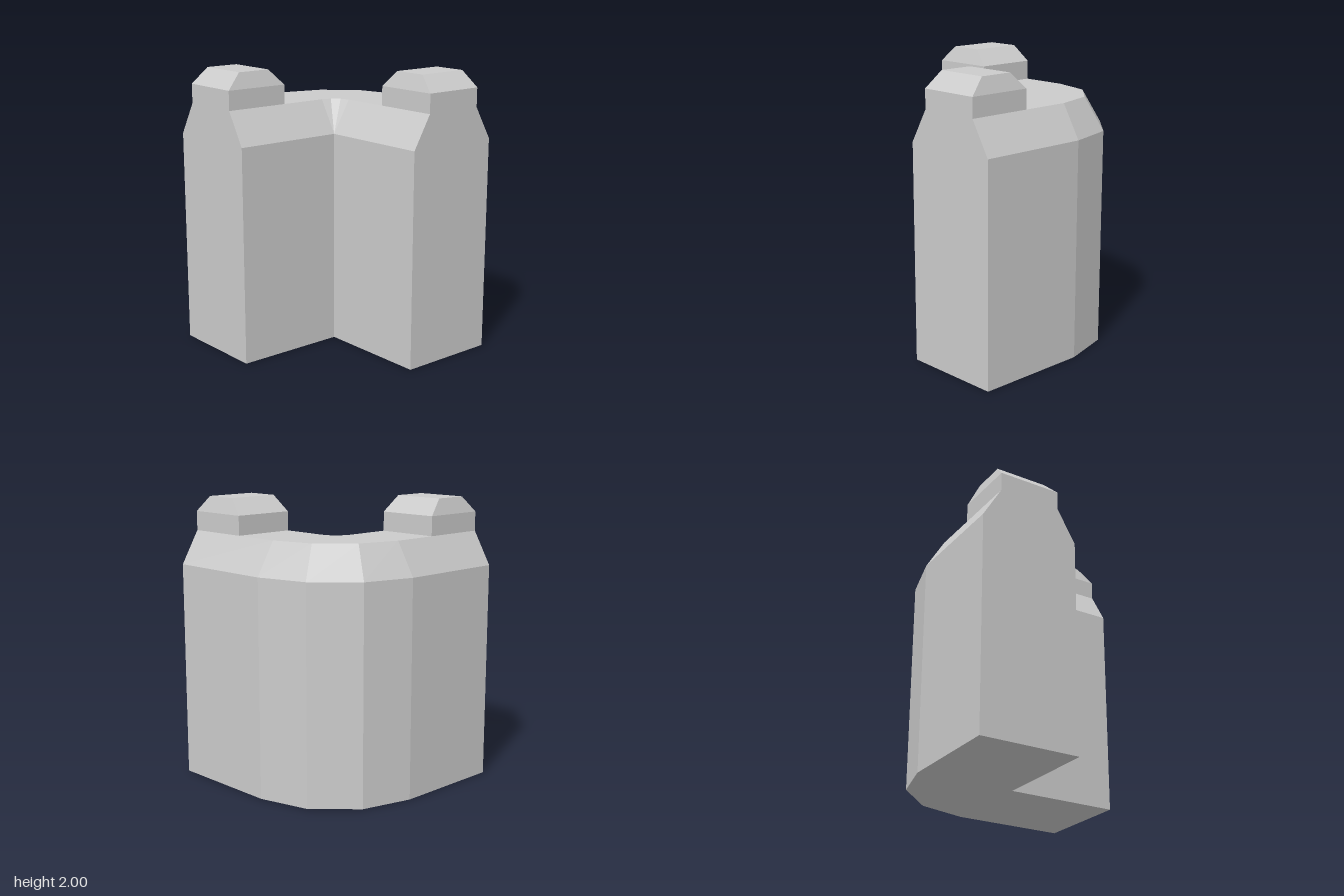
import * as THREE from 'three';

const material = new THREE.MeshStandardMaterial({ color: 0xcccccc, flatShading: true });

// Wall cross-section: distance out from the inner face, height
const profile = [[0, 0], [0, 1.525], [0.135, 1.755], [0.58, 1.755], [0.715, 1.525], [0.715, 0]];

// Stations along the inner edge: x, z, heading in degrees
const stations = [
  [-0.757, -0.05, 0], [0.04, -0.05, 0], [0.04, -0.05, 30],
  [0.04, -0.05, 60], [0.04, -0.05, 90], [0.04, 0.762, 90],
];

// Sweeps the cross-section round the corner and closes both ends
function wallGeometry() {
  const rings = stations.map(([x, z, deg]) => {
    const a = THREE.MathUtils.degToRad(deg);
    return profile.map(([r, y]) => new THREE.Vector3(x + r * Math.sin(a), y, z - r * Math.cos(a)));
  });
  const points = [];
  const triangle = (a, b, c) => {
    if (new THREE.Triangle(a, b, c).getArea() > 1e-6) points.push(a, b, c);
  };
  const n = profile.length;
  for (let i = 0; i < rings.length - 1; i++) {
    for (let j = 0; j < n; j++) {
      const k = (j + 1) % n;
      const a = rings[i][j], b = rings[i][k], c = rings[i + 1][k], d = rings[i + 1][j];
      triangle(a, d, c);
      triangle(a, c, b);
    }
  }
  const first = rings[0], last = rings[rings.length - 1];
  for (let j = 1; j < n - 1; j++) {
    triangle(first[0], first[j], first[j + 1]);
    triangle(last[0], last[j + 1], last[j]);
  }
  const geometry = new THREE.BufferGeometry().setFromPoints(points);
  geometry.computeVertexNormals();
  return geometry;
}

// Block with upright sides below and a top that tapers in
function merlonGeometry() {
  const box = new THREE.BoxGeometry(0.463, 2, 0.445, 1, 2, 1);
  const p = box.attributes.position;
  for (let i = 0; i < p.count; i++) {
    const level = Math.round(p.getY(i)) + 1;
    p.setY(i, [1.755, 1.89, 2][level]);
    if (level === 2) {
      p.setX(i, Math.sign(p.getX(i)) * 0.121);
      p.setZ(i, Math.sign(p.getZ(i)) * 0.188);
    }
  }
  const geometry = box.toNonIndexed();
  geometry.computeVertexNormals();
  return geometry;
}

export function createModel() {
  const group = new THREE.Group();
  group.name = 'cornerWall';

  const wall = new THREE.Mesh(wallGeometry(), material);
  wall.name = 'curvedWall';
  group.add(wall);

  // One merlon at the end of each arm
  const block = merlonGeometry();
  [['rightMerlon', -0.5255, -0.4075, 0], ['frontMerlon', 0.3975, 0.5305, -Math.PI / 2]].forEach(([name, x, z, turn]) => {
    const merlon = new THREE.Mesh(block, material);
    merlon.name = name;
    merlon.position.set(x, 0, z);
    merlon.rotation.y = turn;
    group.add(merlon);
  });

  return group;
}
